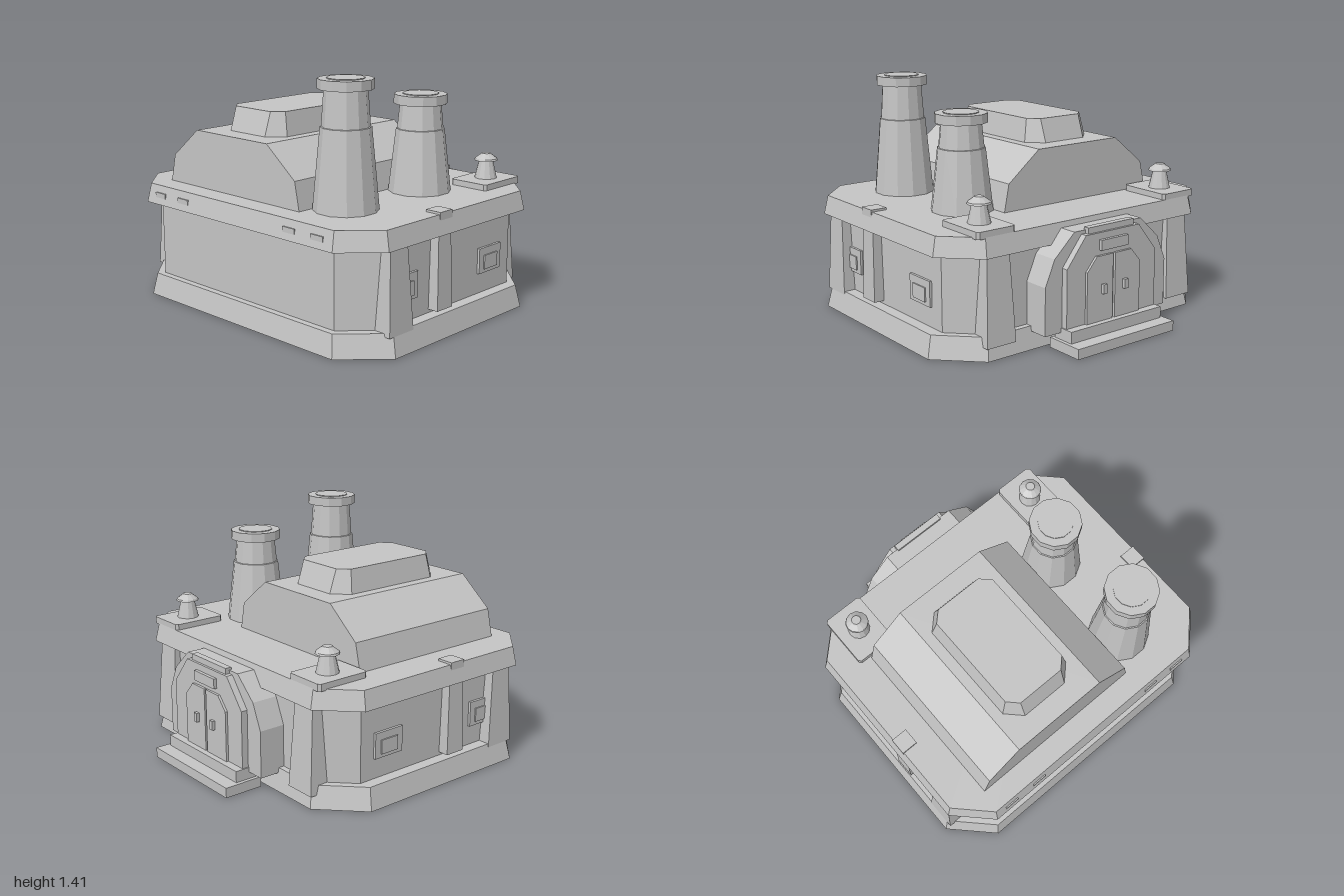
import * as THREE from 'three';

const concrete = new THREE.MeshStandardMaterial({ color: 0xc4c4c4 });
concrete.name = 'concreteGrey';
concrete.flatShading = true;

// Horizontal ring: rectangle with chamfered corners at height y
function ring(x0, x1, z0, z1, y, c = 0) {
  const p = c
    ? [[x1, z0 + c], [x1, z1 - c], [x1 - c, z1], [x0 + c, z1], [x0, z1 - c], [x0, z0 + c], [x0 + c, z0], [x1 - c, z0]]
    : [[x1, z0], [x1, z1], [x0, z1], [x0, z0]];
  return p.map(([x, z]) => new THREE.Vector3(x, y, z));
}

// Solid through a list of convex rings, capped at both ends
function loft(...rings) {
  const pts = [];
  const n = rings[0].length;
  const first = rings[0];
  const last = rings[rings.length - 1];
  for (let i = 0; i < n; i++) {
    const j = (i + 1) % n;
    for (let k = 0; k < rings.length - 1; k++) {
      const a = rings[k];
      const b = rings[k + 1];
      pts.push(a[i], b[i], b[j], a[i], b[j], a[j]);
    }
    if (i > 0 && i < n - 1) pts.push(last[0], last[j], last[i], first[0], first[i], first[j]);
  }
  const g = new THREE.BufferGeometry().setFromPoints(pts);
  g.computeVertexNormals();
  return g;
}

// Outline in x and y, extruded from z0 to z1
function slab(points, z0, z1) {
  const shape = new THREE.Shape(points.map(([x, y]) => new THREE.Vector2(x, y)));
  return new THREE.ExtrudeGeometry(shape, { depth: z1 - z0, bevelEnabled: false }).translate(0, 0, z0);
}

// Box from its limits
function block(x0, x1, y0, y1, z0, z1) {
  return new THREE.BoxGeometry(x1 - x0, y1 - y0, z1 - z0)
    .translate((x0 + x1) / 2, (y0 + y1) / 2, (z0 + z1) / 2);
}

// Left half of an outline mirrored to both sides
const mirrored = (half) => [...half, ...half.map(([x, y]) => [-x, y]).reverse()];

export function createModel() {
  const model = new THREE.Group();
  model.name = 'building';
  const add = (name, geometry, parent = model) => {
    const mesh = new THREE.Mesh(geometry, concrete);
    mesh.name = name;
    parent.add(mesh);
    return mesh;
  };

  // Plinth: a thin skirt around a recessed floor
  add('plinth', loft(
    ring(-0.96, 0.96, -0.625, 0.895, 0.122, 0.222),
    ring(-0.992, 0.992, -0.652, 0.922, 0, 0.233),
    ring(-1, 1, -0.66, 0.93, 0, 0.235),
    ring(-0.97, 0.97, -0.635, 0.905, 0.13, 0.225),
  ));

  // Walls and roof slab
  add('walls', loft(ring(-0.9, 0.9, -0.6, 0.865, 0.125, 0.18), ring(-0.9, 0.9, -0.6, 0.865, 0.585, 0.18)));
  add('roofSlab', loft(ring(-0.98, 0.98, -0.665, 0.935, 0.58, 0.205), ring(-0.955, 0.955, -0.64, 0.91, 0.692, 0.19)));

  // Roof hump and raised cap
  add('roofHump', slab([[-0.742, 0.68], [0.373, 0.68], [0.338, 0.856], [0.118, 1.032], [-0.483, 1.032], [-0.7, 0.856]], -0.288, 0.775));
  add('roofCap', loft(ring(-0.42, 0.054, -0.163, 0.648, 1.03, 0.09), ring(-0.39, 0.026, -0.115, 0.603, 1.172, 0.06)));

  // Twelve-sided chimneys
  for (const [z, top, joint] of [[0.555, 1.41, 1.15], [-0.067, 1.26, 1.06]]) {
    const profile = [
      [0, 0.68], [0.185, 0.68], [0.141, joint], [0.134, joint + 0.002], [0.12, top - 0.055],
      [0.155, top - 0.055], [0.155, top], [0.105, top], [0.105, top + 0.005], [0, top + 0.005],
    ].map(([r, y]) => new THREE.Vector2(r, y));
    add('chimney', new THREE.LatheGeometry(profile, 12).rotateY(Math.PI / 12)).position.set(0.51, 0, z);
  }

  for (const s of [1, -1]) {
    // Limits in x mirrored to the chosen side
    const mx = (a, b) => (s > 0 ? [a, b] : [-b, -a]);

    // Roof vent on a pad
    add('ventPad', loft(ring(...mx(0.56, 0.815), -0.64, -0.3, 0.685, 0.015), ring(...mx(0.56, 0.815), -0.64, -0.3, 0.727, 0.015)));
    const vent = [[0.068, 0.72], [0.042, 0.832], [0.07, 0.834], [0.066, 0.845], [0.034, 0.868], [0.028, 0.875], [0, 0.875]]
      .map(([r, y]) => new THREE.Vector2(r, y));
    add('roofVent', new THREE.LatheGeometry(vent, 12)).position.set(s * 0.685, 0, -0.475);

    // Buttresses on the side and back walls, their feet reaching just below the floor
    add('sideButtress', loft(ring(...mx(0.8, 0.975), 0.525, 0.715, 0.11), ring(...mx(0.84, 0.955), 0.555, 0.692, 0.582)));
    add('middleButtress', loft(ring(...mx(0.88, 0.965), 0.185, 0.312, 0.15), ring(...mx(0.88, 0.955), 0.195, 0.3, 0.585)));
    add('backButtress', loft(ring(...mx(0.58, 0.775), -0.664, -0.5, 0.075), ring(...mx(0.6, 0.75), -0.632, -0.54, 0.582)));
    add('roofClip', block(...mx(0.86, 0.962), 0.66, 0.705, 0.195, 0.298));

    // Side windows
    for (const z of [0.52, -0.225]) {
      const win = new THREE.Group();
      win.name = 'sideWindow';
      model.add(win);
      add('windowFrame', block(...mx(0.89, 0.915), 0.25, 0.4, z - 0.1, z + 0.1), win);
      add('windowPane', block(...mx(0.91, 0.923), 0.272, 0.355, z - 0.06, z + 0.06), win);
    }

    // Slots on the front roof edge
    for (const x of [0.445, 0.655]) {
      add('frontSlot', block(-0.045, 0.045, -0.015, 0.015, -0.004, 0.004)).position.set(s * x, 0.635, 0.925);
    }
  }

  // Back entrance, with steps standing just clear of the plinth
  const entrance = new THREE.Group();
  entrance.name = 'entrance';
  model.add(entrance);
  add('lowerStep', block(-0.365, 0.365, 0, 0.06, -0.935, -0.695), entrance);
  add('upperStep', block(-0.343, 0.343, 0.06, 0.128, -0.85, -0.71), entrance);
  add('porch', slab(mirrored([[0.455, 0.1], [0.455, 0.38], [0.39, 0.53], [0.25, 0.66]]), -0.76, -0.58), entrance);
  add('doorFrame', slab(mirrored([[0.335, 0.12], [0.335, 0.47], [0.2, 0.64]]), -0.8, -0.75), entrance);
  add('doorHead', block(-0.1, 0.1, 0.54, 0.6, -0.82, -0.79), entrance);
  add('frameCrest', block(-0.17, 0.17, 0.62, 0.675, -0.785, -0.745), entrance);
  for (const s of [1, -1]) {
    const leaf = slab([[0.008, 0.125], [0.2, 0.125], [0.2, 0.43], [0.13, 0.51], [0.008, 0.51]].map(([x, y]) => [s * x, y]), -0.815, -0.79);
    add('doorLeaf', leaf, entrance);
    add('doorHandle', block(s * 0.08 - 0.014, s * 0.08 + 0.014, 0.29, 0.345, -0.835, -0.81), entrance);
  }
  return model;
}
